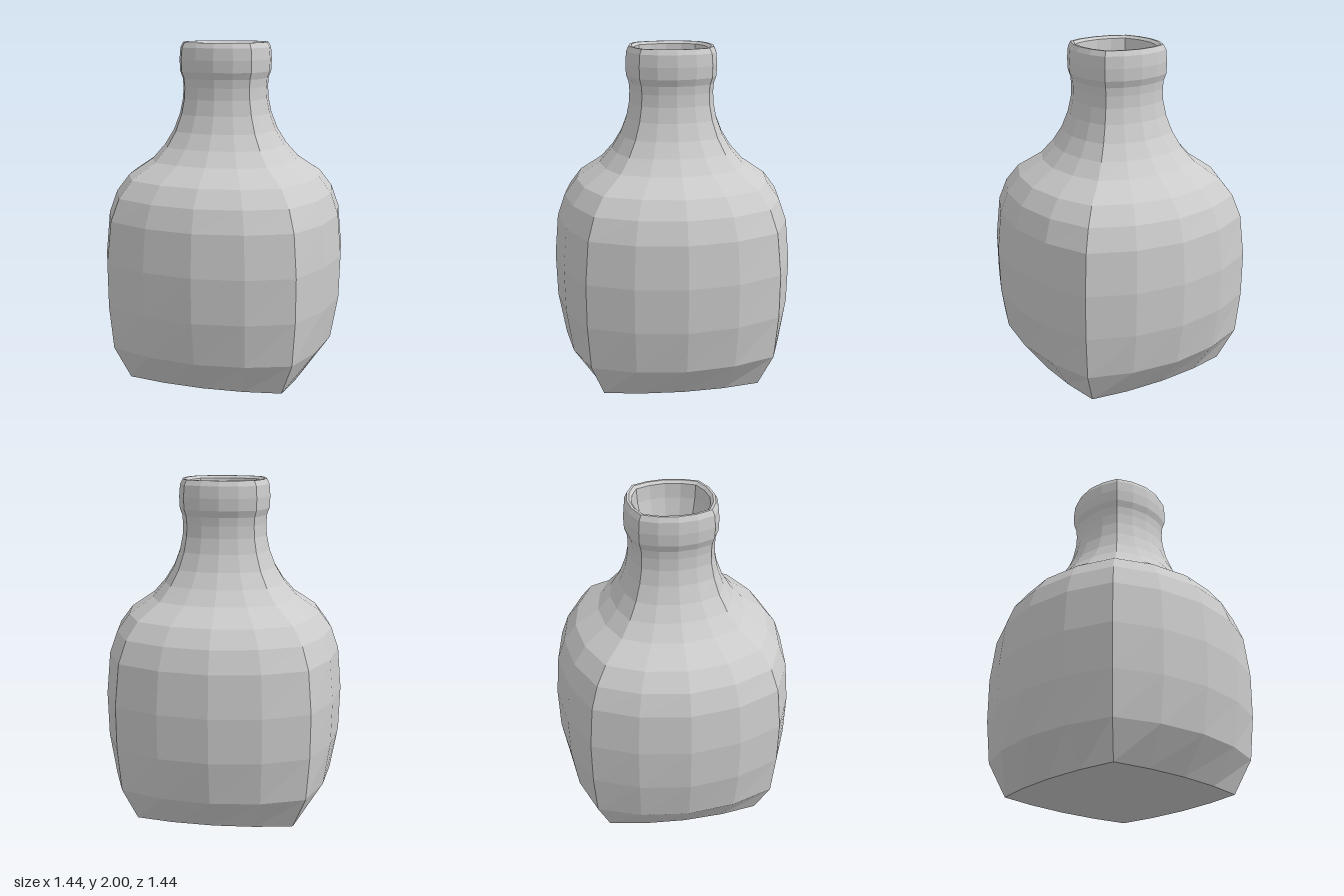
import * as THREE from 'three';

// [half width, height, corner position / half width]
const OUTER = [
  [0, 0, 0.9], [0.52, 0, 0.9], [0.67, 0.205, 0.81], [0.715, 0.465, 0.785], [0.722, 0.73, 0.78],
  [0.7, 0.98, 0.775], [0.655, 1.11, 0.77], [0.58, 1.21, 0.77], [0.44, 1.305, 0.77],
  [0.365, 1.39, 0.775], [0.31, 1.48, 0.78], [0.272, 1.58, 0.785], [0.254, 1.67, 0.785],
  [0.251, 1.74, 0.785], [0.255, 1.79, 0.785], [0.27, 1.83, 0.78], [0.273, 1.9, 0.78],
  [0.267, 1.97, 0.78], [0.252, 2, 0.78],
];
// Rim and the round-bottomed hollow in the neck
const INNER = [
  [0.238, 2, 0.78], [0.222, 1.985, 0.78], [0.216, 1.9, 0.78], [0.195, 1.8, 0.78],
  [0.182, 1.7, 0.79], [0.178, 1.6, 0.8], [0.165, 1.5, 0.82], [0.13, 1.44, 0.9],
  [0.067, 1.4, 1], [0, 1.385, 1],
];

// Sixteen-sided rounded square, counter-clockwise seen from above
function section([w, y, c]) {
  const m = 0.94 + (c - 0.78) * 0.27, n = c * 0.53;
  const quarter = [[1, 0], [m, n], [c, c], [n, m]];
  const points = [];
  for (let q = 0; q < 4; q++) {
    for (const [a, b] of quarter) {
      const [x, z] = [[a, -b], [-b, -a], [-a, b], [b, a]][q];
      points.push(x * w, y, z * w);
    }
  }
  return points;
}

// Joins the sections of a profile into one skin
function loft(profile) {
  const sides = 16, positions = profile.flatMap(section), index = [];
  for (let i = 0; i < profile.length - 1; i++) {
    for (let j = 0; j < sides; j++) {
      const k = (j + 1) % sides;
      const a = i * sides + j, b = i * sides + k, c = b + sides, d = a + sides;
      if (profile[i][0] > 0) index.push(a, b, c);
      if (profile[i + 1][0] > 0) index.push(a, c, d);
      else if (profile[i][0] > 0) continue;
    }
  }
  const indexed = new THREE.BufferGeometry();
  indexed.setAttribute('position', new THREE.Float32BufferAttribute(positions, 3));
  indexed.setIndex(index);
  const geometry = indexed.toNonIndexed();
  geometry.computeVertexNormals();
  return geometry;
}

export function createModel() {
  const group = new THREE.Group();
  group.name = 'bottle';
  const material = new THREE.MeshStandardMaterial({ color: 0xcccccc, flatShading: true });

  const body = new THREE.Mesh(loft(OUTER), material);
  body.name = 'bottleBody';

  const hollow = new THREE.Mesh(loft([OUTER[OUTER.length - 1], ...INNER]), material);
  hollow.name = 'rimAndNeckHollow';

  group.add(body, hollow);
  return group;
}
